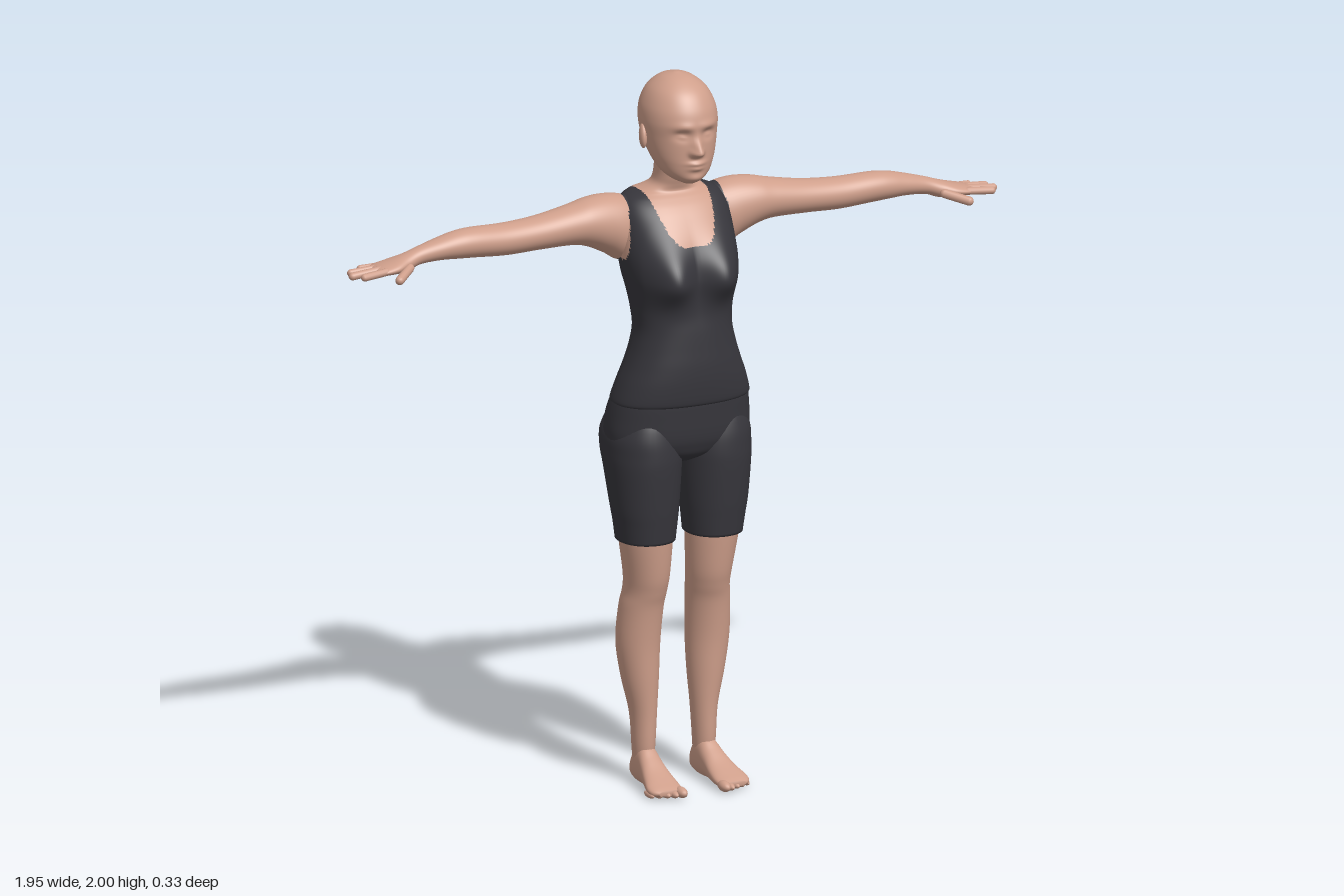
import * as THREE from 'three';

const skin = new THREE.MeshStandardMaterial({ color: 0xcf9f8b });
skin.name = 'skin';
const cloth = new THREE.MeshStandardMaterial({ color: 0x37363c });
cloth.name = 'dark cloth';

// One Catmull-Rom step between b and c
const spline = (a, b, c, d, t) =>
  b + 0.5 * t * (c - a + t * (2 * a - 5 * b + 4 * c - d + t * (3 * (b - c) + d - a)));

// Smooth closed skin through sections [t, uMin, uMax, vMin, vMax], t increasing.
// Axis y: u = x, v = z. Axis x: u = z, v = y. Axis z: u = y, v = x.
function loft(sections, { axis = 'y', segs = 40, steps = 5, power = 2, shape = null } = {}) {
  const place = {
    y: (u, t, v) => new THREE.Vector3(u, t, v),
    x: (u, t, v) => new THREE.Vector3(t, v, u),
    z: (u, t, v) => new THREE.Vector3(v, u, t),
  }[axis];
  const last = sections.length - 1;
  const at = (i) => sections[Math.min(Math.max(i, 0), last)];
  const rows = [];
  for (let k = 0; k <= last * steps; k++) {
    const i = Math.min(Math.floor(k / steps), last - 1);
    const f = k / steps - i;
    rows.push(at(i).map((_, c) => spline(at(i - 1)[c], at(i)[c], at(i + 1)[c], at(i + 2)[c], f)));
  }
  const closed = ([t, a, b, c, d]) => [t, (a + b) / 2, (a + b) / 2, (c + d) / 2, (c + d) / 2];
  rows.unshift(closed(rows[0]));
  rows.push(closed(rows[rows.length - 1]));

  const bend = (s) => Math.sign(s) * Math.pow(Math.abs(s), 2 / power);
  const pos = [], index = [];
  rows.forEach(([t, a, b, c, d], i) => {
    for (let j = 0; j < segs; j++) {
      const ang = (j / segs) * Math.PI * 2;
      const p = place((a + b) / 2 + ((b - a) / 2) * bend(Math.cos(ang)), t,
        (c + d) / 2 + ((d - c) / 2) * bend(Math.sin(ang)));
      if (shape) shape(p);
      pos.push(p.x, p.y, p.z);
      if (i === rows.length - 1) continue;
      const n = (j + 1) % segs, q = i * segs;
      index.push(q + j, q + segs + j, q + segs + n, q + j, q + segs + n, q + n);
    }
  });
  const g = new THREE.BufferGeometry();
  g.setAttribute('position', new THREE.Float32BufferAttribute(pos, 3));
  g.setIndex(index);
  g.computeVertexNormals();
  return g;
}

// Sort faces into a skin group and a cloth group by a rule on the face centre
function paint(g, isCloth) {
  const p = g.attributes.position, idx = g.index.array, parts = [[], []];
  for (let i = 0; i < idx.length; i += 3) {
    const f = [idx[i], idx[i + 1], idx[i + 2]];
    const mid = (get) => f.reduce((s, v) => s + p[get](v), 0) / 3;
    parts[isCloth(mid('getX'), mid('getY'), mid('getZ')) ? 1 : 0].push(...f);
  }
  g.setIndex([...parts[0], ...parts[1]]);
  g.addGroup(0, parts[0].length, 0);
  g.addGroup(parts[0].length, parts[1].length, 1);
  return g;
}

function mirrored(g) {
  const m = g.clone().scale(-1, 1, 1), a = m.index.array;
  for (let i = 0; i < a.length; i += 3) [a[i], a[i + 1]] = [a[i + 1], a[i]];
  return m;
}

// Rounded finger between two points
function finger(from, to, r) {
  const a = new THREE.Vector3(...from), b = new THREE.Vector3(...to);
  const dir = b.clone().sub(a);
  const g = new THREE.CapsuleGeometry(r, dir.length(), 5, 12);
  g.applyQuaternion(new THREE.Quaternion().setFromUnitVectors(new THREE.Vector3(0, 1, 0), dir.normalize()));
  return g.translate(...a.add(b).multiplyScalar(0.5).toArray());
}

const ball = (x, y, z, rx, ry, rz) => new THREE.SphereGeometry(1, 20, 14).scale(rx, ry, rz).translate(x, y, z);
const bump = (d, s) => Math.exp(-((d / s) ** 2));

// Tank top outline: scooped neck front and back, round armholes
function tankTop(x, y, z) {
  const ax = Math.abs(x);
  if (ax > 0.175 && y > 1.46) return false;
  if (ax > 0.142 + (1.66 - y) * 0.12 && y > 1.475 + 6 * (z + 0.065) ** 2) return false;
  const scoop = (ax / 0.092) ** 4;
  return y < (z > -0.075 ? 1.535 + 0.13 * scoop : 1.6 + 0.065 * scoop);
}

function shapeChest(p) {
  if (p.z < 0) return;
  const dy = p.y - 1.445;
  p.z += 0.054 * bump(Math.abs(p.x) - 0.08, 0.062) * bump(dy, dy < 0 ? 0.062 : 0.085) * Math.min(1, p.z / 0.04);
}

function shapeFace(p) {
  if (p.z < 0.02) return;
  const ax = Math.abs(p.x), dy = p.y - 1.803;
  p.z += 0.03 * bump(p.x, 0.014) * bump(dy, dy > 0 ? 0.034 : 0.011)      // nose
    + 0.009 * bump(ax - 0.014, 0.008) * bump(dy, 0.01)                   // nostrils
    - 0.012 * bump(ax - 0.038, 0.02) * bump(p.y - 1.852, 0.014)          // eye sockets
    + 0.006 * bump(ax - 0.038, 0.013) * bump(p.y - 1.848, 0.007)         // eyelids
    + 0.005 * bump(ax - 0.035, 0.03) * bump(p.y - 1.876, 0.012)          // brows
    + 0.009 * bump(p.x, 0.024) * bump(p.y - 1.771, 0.007)                // upper lip
    + 0.008 * bump(p.x, 0.02) * bump(p.y - 1.757, 0.007)                 // lower lip
    + 0.006 * bump(p.x, 0.025) * bump(p.y - 1.728, 0.012);               // chin
}

export function createModel() {
  const model = new THREE.Group();
  const add = (name, g, mat) => {
    const m = new THREE.Mesh(g, mat);
    m.name = name;
    model.add(m);
  };
  const addPair = (name, g, mat) => {
    add('left ' + name, g, mat);
    add('right ' + name, mirrored(g), mat);
  };
  const even = (rows) => rows.map(([y, r, back, front]) => [y, -r, r, back, front]);

  // Head
  add('head', loft(even([
    [1.708, 0.018, 0.02, 0.07], [1.72, 0.043, -0.02, 0.088], [1.74, 0.066, -0.05, 0.096],
    [1.77, 0.082, -0.082, 0.1], [1.8, 0.092, -0.105, 0.101], [1.84, 0.1, -0.13, 0.102],
    [1.88, 0.103, -0.14, 0.105], [1.92, 0.097, -0.136, 0.095], [1.96, 0.077, -0.115, 0.068],
    [1.988, 0.043, -0.078, 0.025], [2.0, 0.006, -0.032, -0.02],
  ]), { segs: 112, steps: 9, power: 2.1, shape: shapeFace }), skin);
  const ear = ball(0, 0, 0, 0.011, 0.034, 0.021).rotateX(-0.2).rotateY(0.25).translate(0.102, 1.832, -0.022);
  addPair('ear', ear, skin);

  // Torso and neck
  add('torso', paint(loft(even([
    [1.09, 0.192, -0.122, 0.108], [1.1, 0.197, -0.13, 0.118], [1.15, 0.182, -0.12, 0.124],
    [1.2, 0.163, -0.11, 0.125], [1.25, 0.147, -0.102, 0.122], [1.3, 0.137, -0.1, 0.118],
    [1.35, 0.14, -0.108, 0.112], [1.4, 0.148, -0.12, 0.108], [1.45, 0.158, -0.138, 0.106],
    [1.5, 0.163, -0.15, 0.1], [1.55, 0.163, -0.158, 0.083], [1.6, 0.16, -0.16, 0.055],
    [1.63, 0.152, -0.155, 0.032], [1.65, 0.138, -0.147, 0.01], [1.662, 0.115, -0.14, -0.006],
    [1.67, 0.085, -0.13, -0.01], [1.685, 0.06, -0.112, -0.006], [1.71, 0.052, -0.1, 0.002],
    [1.76, 0.052, -0.09, 0.012], [1.8, 0.05, -0.085, 0.01],
  ]), { segs: 144, steps: 7, power: 2.3, shape: shapeChest }), tankTop), [skin, cloth]);

  // Shorts
  add('shorts hips', loft(even([
    [0.915, 0.04, -0.06, 0.03], [0.94, 0.12, -0.11, 0.075], [0.97, 0.195, -0.14, 0.092],
    [1.0, 0.207, -0.15, 0.1], [1.05, 0.204, -0.147, 0.104], [1.1, 0.195, -0.126, 0.106],
    [1.115, 0.185, -0.12, 0.1],
  ]), { segs: 64, power: 2.3 }), cloth);
  addPair('shorts leg', loft([
    [0.7, 0.022, 0.18, -0.1, 0.078], [0.75, 0.017, 0.187, -0.104, 0.084], [0.8, 0.012, 0.195, -0.113, 0.09],
    [0.9, 0.004, 0.205, -0.142, 0.099], [0.95, 0, 0.208, -0.163, 0.1], [1.0, 0.008, 0.205, -0.166, 0.095],
    [1.05, 0.03, 0.18, -0.145, 0.08], [1.08, 0.06, 0.15, -0.1, 0.05],
  ], { segs: 48, power: 2.15 }), cloth);

  // Legs
  addPair('leg', loft([
    [0.03, 0.066, 0.114, -0.08, -0.015], [0.1, 0.061, 0.121, -0.083, -0.003], [0.2, 0.055, 0.128, -0.09, 0.001],
    [0.3, 0.048, 0.15, -0.106, 0.008], [0.4, 0.044, 0.164, -0.115, 0.015], [0.5, 0.04, 0.16, -0.107, 0.029],
    [0.55, 0.036, 0.153, -0.099, 0.043], [0.6, 0.032, 0.156, -0.092, 0.056], [0.7, 0.027, 0.172, -0.092, 0.07],
    [0.75, 0.027, 0.175, -0.092, 0.073],
  ]), skin);

  // Feet and toes
  addPair('foot', loft([
    [-0.092, 0.02, 0.045, 0.08, 0.1], [-0.085, 0.008, 0.06, 0.068, 0.112], [-0.06, 0, 0.1, 0.062, 0.118],
    [-0.02, 0, 0.11, 0.06, 0.122], [0.02, 0.003, 0.085, 0.058, 0.13], [0.06, 0.003, 0.06, 0.054, 0.14],
    [0.1, 0.002, 0.042, 0.052, 0.15], [0.125, 0.004, 0.032, 0.056, 0.146], [0.14, 0.01, 0.025, 0.065, 0.13],
  ], { axis: 'z', power: 2.3, shape: (p) => { p.y = Math.max(p.y, 0); } }), skin);
  for (let i = 0; i < 5; i++) {
    const r = i === 0 ? 0.015 : 0.0115 - i * 0.0006;
    addPair('toe ' + (i + 1), ball(0.065 + 0.0195 * i, r + 0.001, 0.137 - 0.009 * i, r, r, 0.028), skin);
  }

  // Arms down to the palms
  addPair('arm', paint(loft([
    [0.1, -0.13, -0.02, 1.52, 1.645], [0.15, -0.15, -0.002, 1.478, 1.66], [0.2, -0.15, 0, 1.503, 1.665],
    [0.25, -0.141, -0.001, 1.527, 1.661], [0.3, -0.13, -0.005, 1.539, 1.65], [0.4, -0.118, -0.01, 1.54, 1.633],
    [0.5, -0.112, -0.012, 1.538, 1.626], [0.6, -0.105, -0.012, 1.545, 1.628], [0.65, -0.1, -0.015, 1.548, 1.624],
    [0.7, -0.095, -0.022, 1.55, 1.612], [0.76, -0.086, -0.03, 1.546, 1.595], [0.8, -0.089, -0.023, 1.533, 1.582],
    [0.84, -0.1, -0.009, 1.532, 1.57], [0.88, -0.1, -0.009, 1.533, 1.56], [0.897, -0.088, -0.02, 1.537, 1.554],
  ], { axis: 'x', segs: 56, steps: 8 }), tankTop), [skin, cloth]);

  // Fingers and thumb
  const fingers = {
    'index finger': [[0.875, 1.548, -0.02], [0.944, 1.543, -0.013], 0.0105],
    'middle finger': [[0.88, 1.549, -0.044], [0.964, 1.54, -0.047], 0.0108],
    'ring finger': [[0.88, 1.548, -0.068], [0.954, 1.54, -0.079], 0.0102],
    'little finger': [[0.865, 1.547, -0.088], [0.915, 1.542, -0.102], 0.009],
    thumb: [[0.805, 1.55, -0.02], [0.857, 1.534, 0.025], 0.0125],
  };
  for (const [name, args] of Object.entries(fingers)) addPair(name, finger(...args), skin);

  return model;
}
